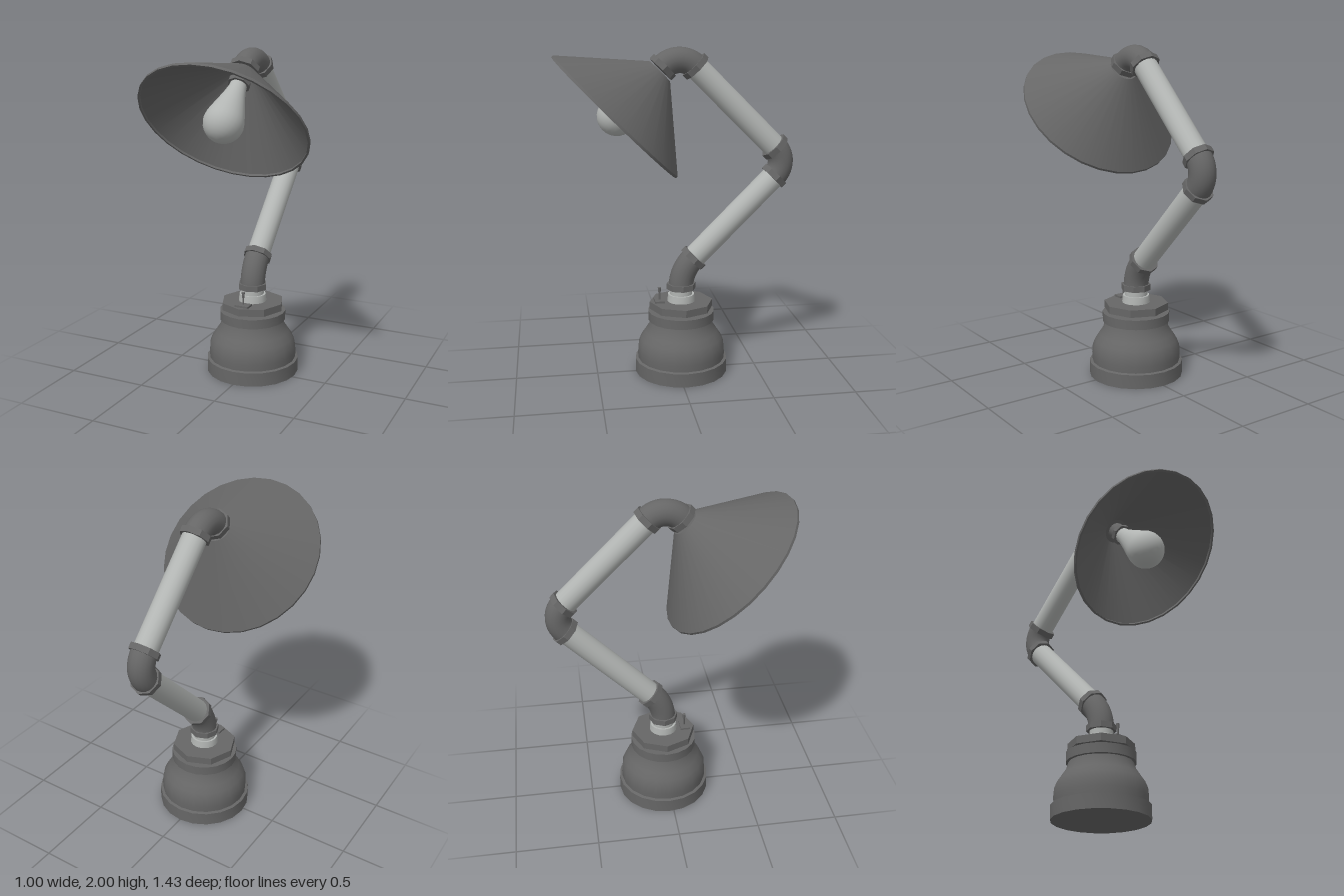
import * as THREE from 'three';
import { toCreasedNormals } from 'three/addons/utils/BufferGeometryUtils.js';

const UP = new THREE.Vector3(0, 1, 0);
const BASE_Z = -0.027;
const P = (y, z) => new THREE.Vector3(0, y, z);

export function createModel() {
  const model = new THREE.Group();
  model.name = 'pipeLamp';

  const mat = (name, color, side = THREE.FrontSide) => {
    const m = new THREE.MeshStandardMaterial({ color, side });
    m.name = name;
    return m;
  };
  const iron = mat('darkIron', 0x666666, THREE.DoubleSide);
  const steel = mat('paleSteel', 0xb2b5b3);

  const add = (name, geo, material, pos, dir = UP) => {
    const mesh = new THREE.Mesh(geo, material);
    mesh.name = name;
    mesh.position.copy(pos);
    mesh.quaternion.setFromUnitVectors(UP, dir);
    model.add(mesh);
    return mesh;
  };
  const cyl = (r1, r2, h, n) => toCreasedNormals(new THREE.CylinderGeometry(r1, r2, h, n), 0.6);
  const lathe = (pts, n) => toCreasedNormals(
    new THREE.LatheGeometry(pts.map(([r, y]) => new THREE.Vector2(r, y)), n), 0.6);

  // Bell-shaped base with a foot band and a top collar
  add('base', lathe([
    [0, 0], [0.287, 0], [0.287, 0.085], [0.27, 0.09], [0.272, 0.13], [0.268, 0.18],
    [0.252, 0.22], [0.225, 0.26], [0.202, 0.295], [0.19, 0.335], [0.205, 0.337],
    [0.205, 0.395], [0, 0.395],
  ], 20), iron, P(0, BASE_Z));
  add('baseNeck', cyl(0.095, 0.095, 0.03, 16), iron, P(0.4, BASE_Z));
  add('octagonPlate', cyl(0.197, 0.197, 0.045, 8), iron, P(0.432, BASE_Z));
  add('neckNut', cyl(0.082, 0.086, 0.045, 16), steel, P(0.477, BASE_Z));
  add('neckPipe', cyl(0.07, 0.07, 0.06, 16), steel, P(0.515, BASE_Z));

  // Toggle switch on the plate
  const plate = new THREE.BoxGeometry(0.09, 0.012, 0.06);
  add('switchPlate', plate, iron, P(0.461, 0.11));
  add('switchStem', cyl(0.006, 0.006, 0.05, 8), iron, P(0.488, 0.108));
  add('switchTip', cyl(0.011, 0.007, 0.035, 8), iron, P(0.527, 0.108));

  // Directions of the bent arm
  const back = P(1, -1).normalize();
  const forward = P(1, 1).normalize();
  const down = P(-1, 1).normalize();

  // Curved elbows: start, corner, end, roundness
  const elbow = (name, a, c, b, k) => add(name, new THREE.TubeGeometry(
    new THREE.CubicBezierCurve3(a, a.clone().lerp(c, k), b.clone().lerp(c, k), b),
    14, 0.076, 18), iron, P(0, 0));
  const foot = P(0.55, BASE_Z), low = P(0.726, -0.104);
  const kneeA = P(1.225, -0.6), kneeB = P(1.402, -0.6);
  const topA = P(1.888, -0.11), topB = P(1.886, 0.082);
  elbow('lowerElbow', foot, P(0.649, BASE_Z), low, 0.64);
  elbow('middleElbow', kneeA, P(1.3135, -0.689), kneeB, 0.55);
  elbow('topElbow', topA, P(1.983, -0.014), topB, 0.55);

  // Eight-sided collars at every elbow end
  [[foot, UP], [low, back], [kneeA, back], [kneeB, forward], [topA, forward], [topB, down]]
    .forEach(([p, d]) => add('pipeCollar', cyl(0.09, 0.09, 0.036, 8), iron, p, d));

  // Straight pipes between the elbows
  [['lowerPipe', low, kneeA], ['upperPipe', kneeB, topA]].forEach(([name, a, b]) => {
    const d = b.clone().sub(a);
    add(name, cyl(0.071, 0.071, d.length(), 18), steel,
      a.clone().add(b).multiplyScalar(0.5), d.normalize());
  });

  // Conical shade, thin shell with a short rim; all parts run along the shade axis
  const head = P(1.862, 0.1);
  add('shade', lathe([
    [0, 0.005], [0.076, 0.005], [0.487, 0.364], [0.487, 0.377], [0.499, 0.377],
    [0.499, 0.362], [0.084, 0], [0, 0],
  ], 28), iron, head, down);
  add('socket', cyl(0.055, 0.055, 0.09, 16), iron, head.clone().addScaledVector(down, 0.045), down);
  add('socketNut', cyl(0.066, 0.066, 0.03, 8), iron, head.clone().addScaledVector(down, 0.075), down);

  // Pear-shaped bulb
  const bulb = [[0.048, 0.08], [0.052, 0.12], [0.067, 0.18], [0.087, 0.245], [0.104, 0.3]];
  for (let i = 0; i <= 8; i++) {
    const a = -0.25 + (i / 8) * (Math.PI / 2 + 0.25);
    bulb.push([Math.max(0, 0.116 * Math.cos(a)), 0.36 + 0.116 * Math.sin(a)]);
  }
  // Reverse winding check: profile runs base to tip, so faces point outward
  add('bulb', lathe(bulb, 24), steel, head, down);

  return model;
}
